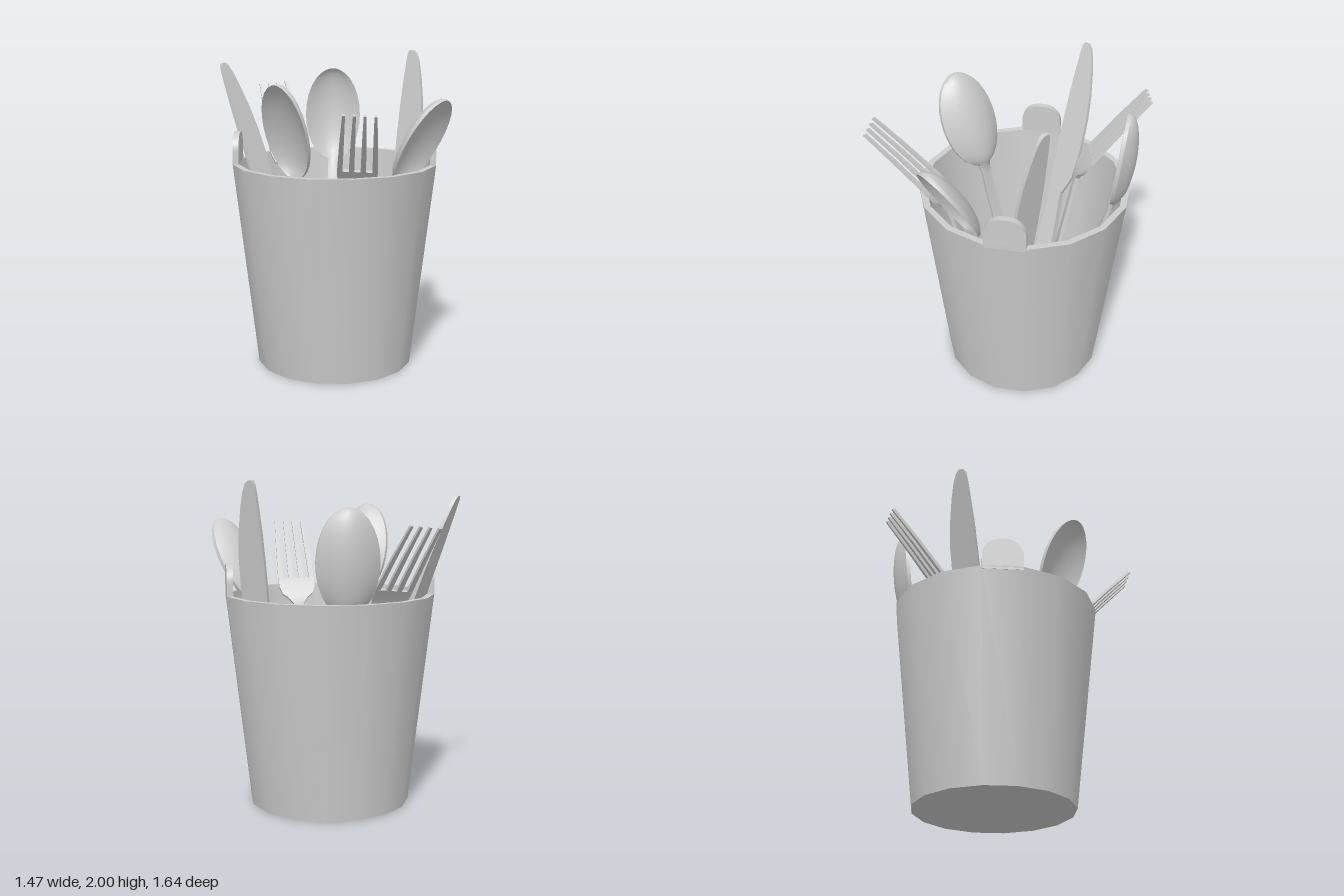
import * as THREE from 'three';
import { toCreasedNormals } from 'three/addons/utils/BufferGeometryUtils.js';

const material = new THREE.MeshStandardMaterial({ color: 0xcccccc, roughness: 0.6 });

function addMesh(parent, name, geometry, crease = 0.65) {
  const mesh = new THREE.Mesh(toCreasedNormals(geometry, crease), material);
  mesh.name = name;
  parent.add(mesh);
  return mesh;
}

// Closed plate lofted along +y. Stations: [y, xMin, xMax, z offset, dish depth]
function plate(stations, thickness, across = 2) {
  const pos = [], index = [];
  const n = across + 1, ring = 2 * n;
  stations.forEach(([y, x0, x1, z, depth = 0]) => {
    for (let k = 0; k < ring; k++) {
      const top = k < n;
      const t = (top ? k : ring - 1 - k) / across;
      const u = 2 * t - 1;
      pos.push(x0 + (x1 - x0) * t, y, z - depth * (1 - u * u) + (top ? 0.5 : -0.5) * thickness);
    }
  });
  for (let i = 0; i < stations.length - 1; i++) {
    for (let k = 0; k < ring; k++) {
      const a = i * ring + k, b = i * ring + (k + 1) % ring;
      index.push(a, b, b + ring, a, b + ring, a + ring);
    }
  }
  const last = (stations.length - 1) * ring;
  for (let j = 0; j < across; j++) {
    const a = j, b = ring - 1 - j, c = b - 1, d = j + 1;
    index.push(a, b, c, a, c, d);
    index.push(last + a, last + c, last + b, last + a, last + d, last + c);
  }
  const g = new THREE.BufferGeometry();
  g.setAttribute('position', new THREE.Float32BufferAttribute(pos, 3));
  g.setIndex(index);
  return g;
}

// Handle shared by forks and spoons; bow is its z offset at the neck
const handle = (neck, bow) => [
  [0, 0.05], [0.015, 0.066], [0.05, 0.075], [0.25, 0.068], [0.55, 0.05], [0.85, 0.036], [neck, 0.033],
].map(([s, w]) => [s, -w, w, bow * s / neck]);

function makeSpoon() {
  const g = new THREE.Group();
  const stations = handle(1.16, -0.075);
  const steps = 14;
  for (let i = 1; i <= steps; i++) {
    const a = Math.PI * i / steps;
    const s = 1.535 - 0.31 * Math.cos(a);
    const w = Math.max(0.185 * Math.sin(a), i < steps / 2 ? 0.036 : 0.012);
    stations.push([s, -w, w, -0.075 * (1.845 - s) / 0.62, 0.085 * Math.sin(a)]);
  }
  addMesh(g, 'spoonBody', plate(stations, 0.022, 8));
  return g;
}

function makeFork() {
  const g = new THREE.Group();
  const head = [[1.2, 0.065, 0.2], [1.23, 0.1, 0.197], [1.28, 0.116, 0.188], [1.345, 0.12, 0.17]];
  addMesh(g, 'forkBody', plate([
    ...handle(1.16, 0.198),
    ...head.map(([s, w, z]) => [s, -w, w, z]),
  ], 0.024));
  // Four tapering tines
  for (let i = 0; i < 4; i++) {
    const k = (i - 1.5) / 1.5;
    const base = k * 0.104, tip = k * 0.088;
    addMesh(g, 'tine', plate([
      [1.33, base - 0.016, base + 0.016, 0.174],
      [1.6, (base + tip) / 2 - 0.013, (base + tip) / 2 + 0.013, 0.084],
      [1.83, tip - 0.008, tip + 0.008, 0],
    ], 0.02));
  }
  return g;
}

function makeKnife() {
  const g = new THREE.Group();
  addMesh(g, 'knifeHandle', plate([
    [0, -0.055, 0.055, 0], [0.03, -0.075, 0.075, 0], [0.3, -0.072, 0.072, 0],
    [0.7, -0.058, 0.058, 0], [0.98, -0.046, 0.046, 0],
  ], 0.04));
  // Straight back, curved cutting edge
  addMesh(g, 'knifeBlade', plate([
    [0.97, -0.046, 0.046, 0], [1.03, -0.055, 0.075, 0], [1.1, -0.06, 0.105, 0],
    [1.3, -0.06, 0.125, 0], [1.5, -0.056, 0.124, 0], [1.65, -0.05, 0.11, 0],
    [1.8, -0.04, 0.083, 0], [1.9, -0.032, 0.058, 0], [1.95, -0.026, 0.036, 0], [1.97, -0.014, 0.014, 0],
  ], 0.022));
  return g;
}

// Stands a utensil from its foot to its tip, its face turned towards (fx, fz)
function place(parent, name, utensil, foot, tip, [fx, fz]) {
  const from = new THREE.Vector3(...foot);
  const y = new THREE.Vector3(...tip).sub(from).normalize();
  const z = new THREE.Vector3(fx, 0, fz);
  z.addScaledVector(y, -z.dot(y)).normalize();
  const x = new THREE.Vector3().crossVectors(y, z);
  utensil.quaternion.setFromRotationMatrix(new THREE.Matrix4().makeBasis(x, y, z));
  utensil.position.copy(from);
  utensil.name = name;
  parent.add(utensil);
}

export function createModel() {
  const model = new THREE.Group();
  model.name = 'utensilBucket';

  // Sixteen-sided tapered bucket with an inner wall and floor
  const bucket = new THREE.Group();
  bucket.name = 'bucket';
  bucket.position.set(0.028, 0, -0.098);
  model.add(bucket);
  const profile = [[0, 0], [0.499, 0], [0.65, 1.31], [0.61, 1.31], [0.475, 0.04], [0, 0.04]]
    .map(([r, y]) => new THREE.Vector2(r, y));
  addMesh(bucket, 'bucketWall', new THREE.LatheGeometry(profile, 16, Math.PI / 16));

  // Rounded tabs on both sides of the rim
  const tab = new THREE.Shape();
  tab.moveTo(-0.125, 1.29);
  tab.lineTo(0.125, 1.29);
  tab.lineTo(0.125, 1.39);
  tab.absarc(0.015, 1.39, 0.11, 0, Math.PI / 2, false);
  tab.absarc(-0.015, 1.39, 0.11, Math.PI / 2, Math.PI, false);
  for (const side of [-1, 1]) {
    const geometry = new THREE.ExtrudeGeometry(tab, { depth: 0.038, bevelEnabled: false, curveSegments: 6 });
    const mesh = addMesh(bucket, side > 0 ? 'leftTab' : 'rightTab', geometry);
    mesh.rotation.y = side * Math.PI / 2;
    mesh.position.x = side * 0.599;
  }

  // Cutlery leaning on the rim
  place(model, 'backSpoon', makeSpoon(), [0, 0.055, -0.29], [0, 1.845, -0.7], [0, 1]);
  place(model, 'frontSpoon', makeSpoon(), [-0.2, 0.055, -0.04], [-0.29, 1.82, 0.41], [-0.66, 0.75]);
  place(model, 'sideSpoon', makeSpoon(), [0.115, 0.055, -0.11], [0.685, 1.755, 0.34], [0.77, 0.63]);
  place(model, 'frontFork', makeFork(), [0.13, 0.055, 0.04], [0.19, 1.71, 0.81], [0, -1]);
  place(model, 'backFork', makeFork(), [-0.1, 0.055, -0.17], [-0.42, 1.755, -0.79], [0.23, 0.97]);
  place(model, 'rightKnife', makeKnife(), [-0.1, 0.055, -0.12], [-0.71, 1.91, -0.36], [0.83, 0.55]);
  place(model, 'leftKnife', makeKnife(), [0.37, 0.055, -0.03], [0.52, 2, -0.295], [-0.6, 0.77]);
  return model;
}
